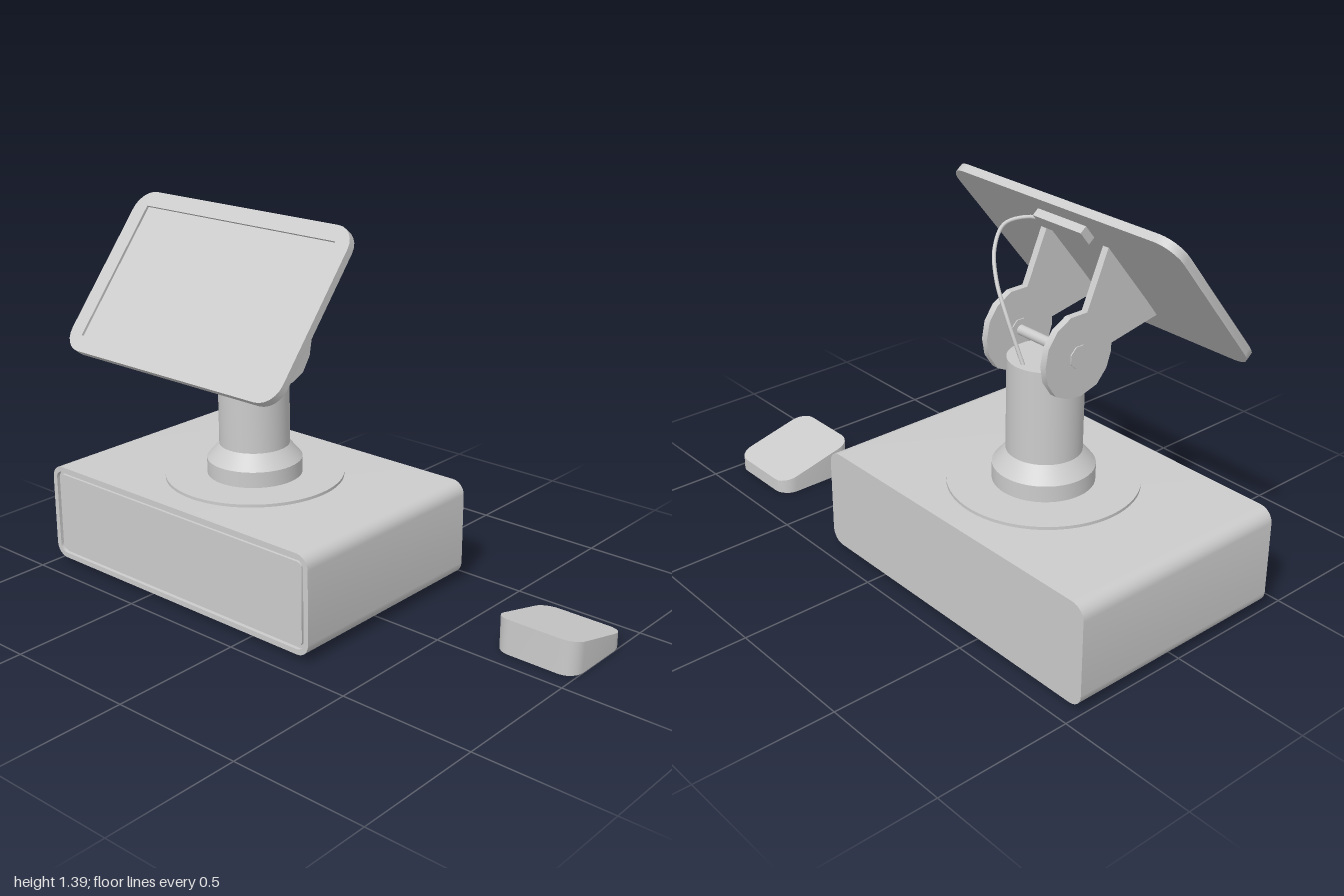
import * as THREE from 'three';
import { toCreasedNormals } from 'three/addons/utils/BufferGeometryUtils.js';

const grey = new THREE.MeshStandardMaterial({ color: 0xcccccc, side: THREE.DoubleSide });
const CX = -0.36; // shared centre line of base, column and screen
const CZ = -0.01; // column axis

function add(parent, name, geometry, x = 0, y = 0, z = 0) {
  const mesh = new THREE.Mesh(geometry, grey);
  mesh.name = name;
  mesh.position.set(x, y, z);
  parent.add(mesh);
  return mesh;
}

// Counter-clockwise rounded rectangle, starting and ending on its bottom edge
function roundedPoints(w, h, r, n = 6) {
  const points = [];
  const corners = [[1, -1], [1, 1], [-1, 1], [-1, -1]];
  corners.forEach(([sx, sy], c) => {
    for (let i = 0; i <= n; i++) {
      const a = (c - 1 + i / n) * Math.PI / 2;
      points.push(new THREE.Vector2(
        sx * (w / 2 - r) + r * Math.cos(a), sy * (h / 2 - r) + r * Math.sin(a)));
    }
  });
  return points;
}

const roundedShape = (w, h, r) => new THREE.Shape(roundedPoints(w, h, r));

function frame(w, h, r, iw, ih, ir, depth) {
  const shape = roundedShape(w, h, r);
  shape.holes.push(new THREE.Path(roundedPoints(iw, ih, ir)));
  return extrude(shape, depth);
}

function extrude(shape, depth) {
  return toCreasedNormals(
    new THREE.ExtrudeGeometry(shape, { depth, bevelEnabled: false }), 0.5);
}

// Thin wall following a path, from z = 0 to a depth given per point
function wall(points, depthAt, closed) {
  const position = [];
  const count = closed ? points.length : points.length - 1;
  for (let i = 0; i < count; i++) {
    const p = points[i], q = points[(i + 1) % points.length];
    const a = [p.x, p.y, 0], b = [q.x, q.y, 0];
    const c = [q.x, q.y, depthAt(q)], d = [p.x, p.y, depthAt(p)];
    position.push(...a, ...b, ...c, ...a, ...c, ...d);
  }
  const geometry = new THREE.BufferGeometry();
  geometry.setAttribute('position', new THREE.Float32BufferAttribute(position, 3));
  return toCreasedNormals(geometry, 0.5);
}

// Hollow cabinet, open underneath, with a framed front panel
function buildBase() {
  const base = new THREE.Group();
  base.name = 'base';
  base.position.set(CX, 0.205, 0);
  const w = 1.28, h = 0.37, r = 0.05;
  add(base, 'baseShell', wall(roundedPoints(w, h, r), () => 0.86, false), 0, 0, -0.44);
  const back = add(base, 'baseBack', new THREE.ShapeGeometry(roundedShape(w, h, r)), 0, 0, -0.44);
  back.rotation.y = Math.PI;
  add(base, 'frontRim', frame(w, h, r, w - 0.04, h - 0.04, 0.03, 0.015), 0, 0, 0.405);
  add(base, 'frontRecess', new THREE.ShapeGeometry(roundedShape(w - 0.03, h - 0.03, 0.035)), 0, 0, 0.406);
  add(base, 'frontPanel', extrude(roundedShape(w - 0.062, h - 0.062, 0.02), 0.01), 0, 0, 0.406);
  return base;
}

// Swivel plate, flared foot and post
function buildColumn() {
  const column = new THREE.Group();
  column.name = 'column';
  column.position.set(CX, 0, CZ);
  add(column, 'swivelPlate', new THREE.CylinderGeometry(0.33, 0.33, 0.012, 64), 0, 0.395, 0);
  const profile = [[0, 0.4], [0.176, 0.4], [0.176, 0.46], [0.13, 0.515], [0.13, 0.85], [0, 0.85]]
    .map(([x, y]) => new THREE.Vector2(x, y));
  add(column, 'post', toCreasedNormals(new THREE.LatheGeometry(profile, 48), 0.5));
  return column;
}

// Two arms with round pivots, a pin and hubs
function buildHinge() {
  const hinge = new THREE.Group();
  hinge.name = 'hinge';
  hinge.position.x = CX;
  const outline = [
    [0.345, 0.947], [0.108, 1.25], [0.02, 1.047], [-0.05, 1.047], [-0.108, 1.015],
    [-0.144, 0.965], [-0.155, 0.902], [-0.144, 0.843], [-0.108, 0.79], [-0.055, 0.765],
    [0.005, 0.758], [0.075, 0.778], [0.117, 0.825], [0.135, 0.88], [0.135, 0.908],
  ].map(([z, y]) => new THREE.Vector2(z, y));
  const arm = extrude(new THREE.Shape(outline), 0.025).rotateY(-Math.PI / 2);
  const hub = new THREE.CylinderGeometry(0.041, 0.041, 0.033, 8).rotateY(Math.PI / 8).rotateZ(Math.PI / 2);
  for (const [side, s] of [['left', 1], ['right', -1]]) {
    add(hinge, side + 'Arm', arm, s * 0.14 + 0.0125, 0, 0);
    add(hinge, side + 'Hub', toCreasedNormals(hub, 0.5), s * 0.14, 0.902, CZ);
  }
  add(hinge, 'hingePin', new THREE.CylinderGeometry(0.018, 0.018, 0.28, 16).rotateZ(Math.PI / 2), 0, 0.902, CZ);
  return hinge;
}

// Tilted display with recessed glass and a connector block behind
function buildScreen() {
  const screen = new THREE.Group();
  screen.name = 'screen';
  screen.position.set(CX, 1.124, 0.222);
  screen.rotation.x = -Math.atan2(0.416, 0.509);
  const w = 1.025, h = 0.657, r = 0.08;
  add(screen, 'screenBody', extrude(roundedShape(w, h, r), 0.021), 0, 0, -0.015);
  add(screen, 'screenBezel', frame(w, h, r, w - 0.125, h - 0.12, 0.003, 0.009), 0, 0, 0.006);
  add(screen, 'connectorBlock', new THREE.BoxGeometry(0.22, 0.06, 0.03), 0, 0.232, -0.029);
  return screen;
}

// Cable looping from the connector down into the post
function buildCable() {
  const path = new THREE.CatmullRomCurve3([
    [-0.27, 1.272, 0.07], [-0.2, 1.272, 0.055], [-0.14, 1.245, 0], [-0.165, 1.185, -0.065],
    [-0.22, 1.1, -0.105], [-0.29, 0.99, -0.118], [-0.36, 0.845, -0.11],
  ].map((p) => new THREE.Vector3(...p)));
  return new THREE.TubeGeometry(path, 48, 0.007, 8);
}

// Separate wedge-shaped reader, hollow and open underneath
function buildReader() {
  const reader = new THREE.Group();
  reader.name = 'cardReader';
  reader.position.set(0.84, 0, -0.23);
  const heightAt = (p) => 0.09 - p.y * 0.25; // local +y becomes -z
  const points = roundedPoints(0.32, 0.32, 0.06);
  const top = new THREE.ShapeGeometry(new THREE.Shape(points));
  const pos = top.attributes.position;
  for (let i = 0; i < pos.count; i++) pos.setZ(i, 0.09 - pos.getY(i) * 0.25);
  top.computeVertexNormals();
  add(reader, 'readerWalls', wall(points, heightAt, true).rotateX(-Math.PI / 2));
  add(reader, 'readerTop', top.rotateX(-Math.PI / 2));
  return reader;
}

export function createModel() {
  const model = new THREE.Group();
  model.name = 'salesTerminal';
  model.add(buildBase(), buildColumn(), buildHinge(), buildScreen(), buildReader());
  add(model, 'cable', buildCable());
  return model;
}
